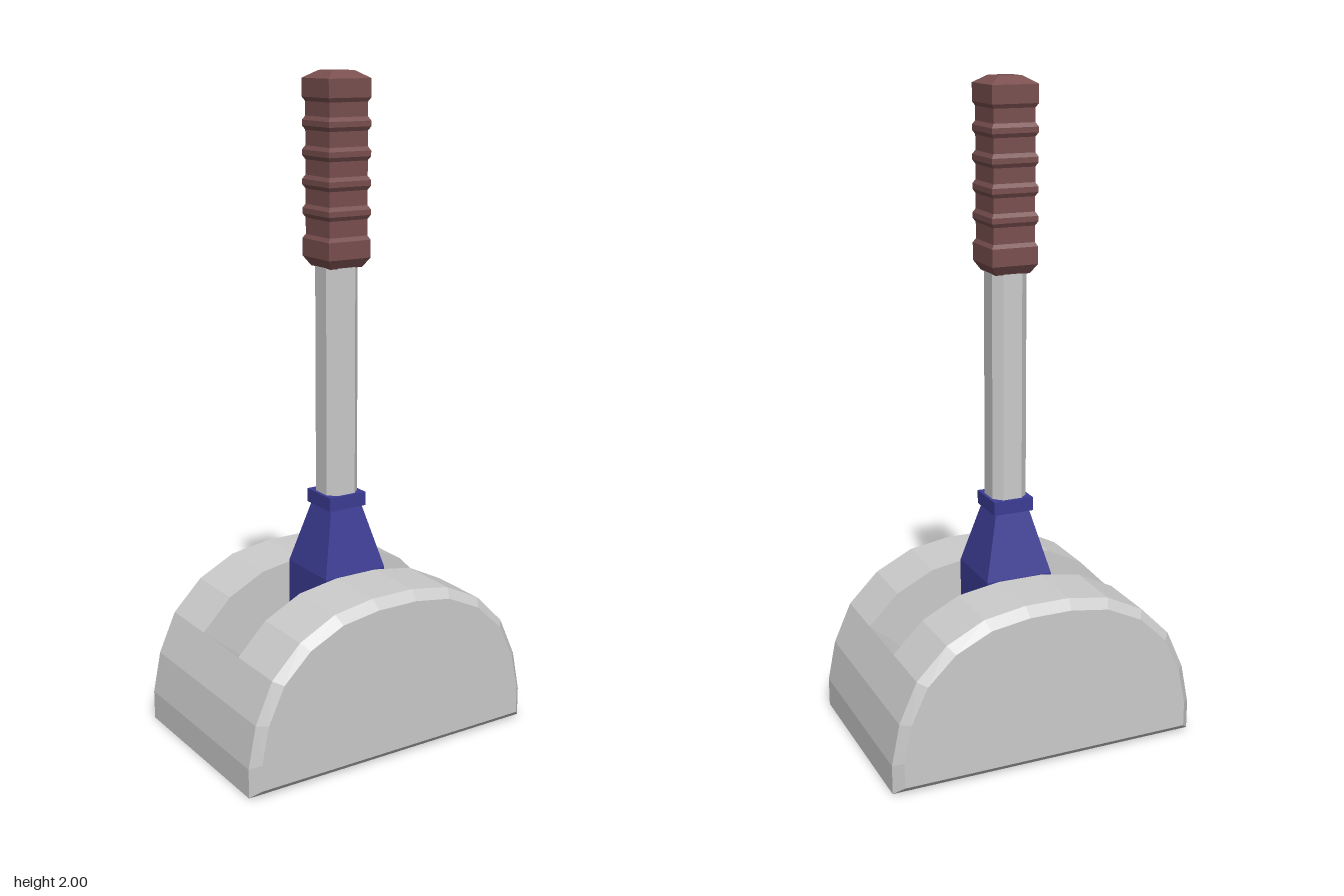
import * as THREE from 'three';

const paint = (color) => new THREE.MeshStandardMaterial({ color, flatShading: true });

// Right half of the head's arched outline, from the base up to the crown
const ARC = [[0.49, 0], [0.49, 0.09], [0.465, 0.217], [0.41, 0.34], [0.317, 0.434], [0.2, 0.493], [0.07, 0.514]];
const mirrored = (half) => [...half, ...half.slice().reverse().map(([x, y]) => [-x, y])];

// Solid skinned through convex outlines stacked along z: [[points, z], ...]
function loft(sections) {
  const n = sections[0][0].length, last = (sections.length - 1) * n;
  const positions = sections.flatMap(([points, z]) => points.flatMap(([x, y]) => [x, y, z]));
  const index = [];
  for (let k = 0; k < last; k += n) {
    for (let i = 0; i < n; i++) {
      const j = (i + 1) % n;
      index.push(k + i, k + j, k + n + j, k + i, k + n + j, k + n + i);
    }
  }
  for (let i = 1; i < n - 1; i++) {
    index.push(0, i + 1, i, last, last + i, last + i + 1);
  }
  const geometry = new THREE.BufferGeometry();
  geometry.setAttribute('position', new THREE.Float32BufferAttribute(positions, 3));
  geometry.setIndex(index);
  geometry.computeVertexNormals();
  return geometry;
}

// Square-section turned shape from [half width, height] pairs, bottom to top
function squareTurned(profile) {
  const points = profile.map(([w, y]) => new THREE.Vector2(w * Math.SQRT2, y));
  return new THREE.LatheGeometry(points, 4, Math.PI / 4);
}

function extrude(points, depth) {
  const shape = new THREE.Shape(points.map(([x, y]) => new THREE.Vector2(x, y)));
  return new THREE.ExtrudeGeometry(shape, { depth, bevelEnabled: false });
}

export function createModel() {
  const model = new THREE.Group();
  const steel = paint(0xcccccc), blue = paint(0x3c3c95), red = paint(0x7a4f4f);
  const add = (name, geometry, material, parent = model) => {
    const mesh = new THREE.Mesh(geometry, material);
    mesh.name = name;
    parent.add(mesh);
    return mesh;
  };

  // Head: two chamfered cheeks either side of a slotted core
  const head = new THREE.Group();
  head.name = 'head';
  model.add(head);
  const slot = 0.108;
  const outer = mirrored(ARC);
  const face = outer.map(([x, y]) => [x * 0.942, 0.026 + y * 0.895]);
  const cheek = loft([[outer, slot], [outer, 0.302], [face, 0.33]]);
  add('frontCheek', cheek, steel, head);
  add('backCheek', cheek, steel, head).rotation.y = Math.PI;

  // Core: the slot floor is a smaller copy of the arch
  const floor = ARC.slice(3).map(([x, y]) => [x * 0.68, y * 0.68]);
  const core = extrude(mirrored([...ARC.slice(0, 4), ...floor]), slot * 2);
  add('slottedCore', core.translate(0, 0, -slot), steel, head);

  // Socket: block in the slot tapering up to a collar
  add('socket', squareTurned([
    [0, 0.28], [0.106, 0.28], [0.106, 0.515], [0.055, 0.71],
    [0.064, 0.71], [0.064, 0.752], [0, 0.752],
  ]), blue);

  // Shaft: square bar with chamfered corners
  const a = 0.055, b = 0.03;
  const section = [[a, -b], [a, b], [b, a], [-b, a], [-a, b], [-a, -b], [-b, -a], [b, -a]];
  add('shaft', extrude(section, 0.75).rotateX(-Math.PI / 2).translate(0, 0.72, 0), steel);

  // Grip: ribbed square handle
  const wide = 0.072, narrow = 0.065;
  const grip = [[0, 1.44], [0.054, 1.44], [wide, 1.468], [wide, 1.52], [narrow, 1.532]];
  for (let i = 0; i < 4; i++) {
    const y = 1.6 + i * 0.084;
    grip.push([narrow, y - 0.02], [wide, y - 0.008], [wide, y + 0.008], [narrow, y + 0.02]);
  }
  grip.push([narrow, 1.913], [wide, 1.925], [wide, 1.978], [0.037, 2], [0, 2]);
  add('grip', squareTurned(grip), red);

  return model;
}
